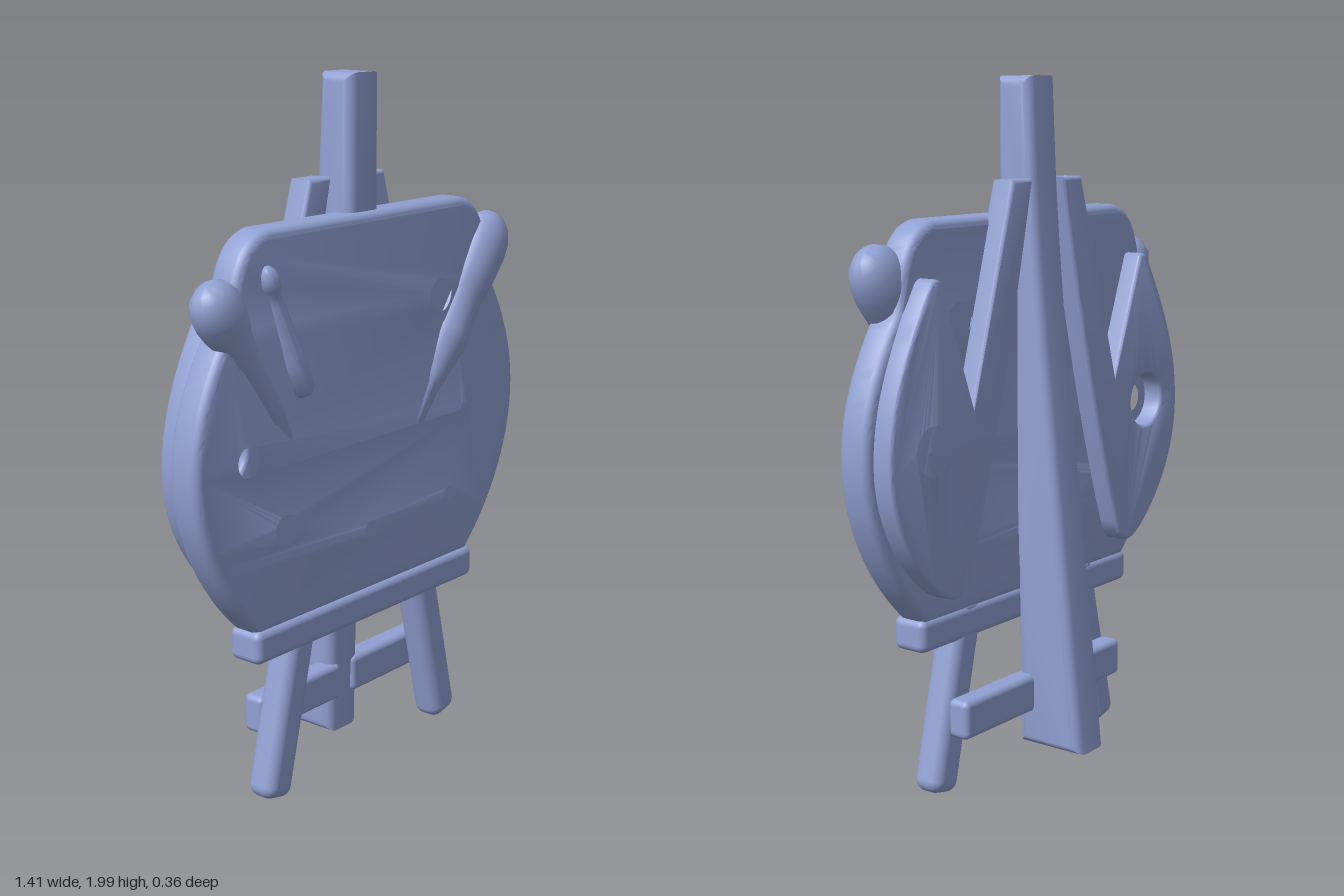
import * as THREE from 'three';
import { toCreasedNormals } from 'three/addons/utils/BufferGeometryUtils.js';
import { RoundedBoxGeometry } from 'three/addons/geometries/RoundedBoxGeometry.js';

export function createModel() {
  const model = new THREE.Group();
  const blue = new THREE.MeshStandardMaterial({ color: 0x91a1d3 });
  blue.name = 'periwinkle';

  const add = (name, geometry, x = 0, y = 0, z = 0) => {
    const mesh = new THREE.Mesh(geometry, blue);
    mesh.name = name;
    mesh.position.set(x, y, z);
    model.add(mesh);
    return mesh;
  };

  // Rounded slab between two depths, whose widest outline is the given shape
  const slab = (shape, z0, z1, bevel) => {
    const g = new THREE.ExtrudeGeometry(shape, {
      depth: z1 - z0 - 2 * bevel, bevelThickness: bevel, bevelSize: bevel,
      bevelOffset: -bevel, bevelSegments: 5, curveSegments: 20,
    });
    g.translate(0, 0, z0 + bevel);
    return toCreasedNormals(g, 0.6);
  };
  const circle = (x, y, r) => new THREE.Path().absarc(x, y, r, 0, Math.PI * 2, true);

  // Palette board with thumb hole and paint wells
  const wells = [[0.32, 1.35, 0.1], [0.445, 0.99, 0.066], [0.375, 0.735, 0.074],
    [0, 0.715, 0.076], [-0.36, 0.8, 0.096]];
  const board = new THREE.Shape();
  board.moveTo(-0.42, 1.625);
  board.lineTo(0.42, 1.625);
  board.quadraticCurveTo(0.52, 1.61, 0.55, 1.48);
  board.lineTo(0.565, 1.39);
  board.bezierCurveTo(0.67, 1.24, 0.705, 1.12, 0.705, 1.01);
  board.bezierCurveTo(0.705, 0.82, 0.6, 0.65, 0.47, 0.53);
  board.lineTo(-0.47, 0.53);
  board.bezierCurveTo(-0.6, 0.65, -0.705, 0.82, -0.705, 1.01);
  board.bezierCurveTo(-0.705, 1.12, -0.67, 1.24, -0.565, 1.39);
  board.lineTo(-0.55, 1.48);
  board.quadraticCurveTo(-0.52, 1.61, -0.42, 1.625);
  board.holes.push(circle(-0.505, 1.025, 0.068));
  for (const [x, y, r] of wells) board.holes.push(circle(x, y, r - 0.025));
  add('paletteBoard', slab(board, 0.035, 0.135, 0.025));
  for (const [x, y, r] of wells) {
    const floor = new THREE.CylinderGeometry(r - 0.008, r - 0.008, 0.08, 40).rotateX(Math.PI / 2);
    add('paintWell', floor, x, y, 0.079);
  }

  // Rear wings: a sloping strip joined to a round lobe with a hole
  for (const s of [1, -1]) {
    const wing = new THREE.Shape();
    wing.moveTo(s * 0.07, 1.72);
    wing.lineTo(s * 0.16, 1.72);
    wing.lineTo(s * 0.335, 1.12);
    wing.lineTo(s * 0.465, 1.47);
    wing.quadraticCurveTo(s * 0.485, 1.485, s * 0.505, 1.465);
    wing.bezierCurveTo(s * 0.62, 1.28, s * 0.675, 1.15, s * 0.675, 1.0);
    wing.bezierCurveTo(s * 0.675, 0.84, s * 0.58, 0.7, s * 0.47, 0.62);
    wing.quadraticCurveTo(s * 0.4, 0.575, s * 0.36, 0.63);
    wing.quadraticCurveTo(s * 0.22, 1.0, s * 0.07, 1.72);
    wing.holes.push(circle(s * 0.505, 1.025, 0.08));
    add(s > 0 ? 'leftRearWing' : 'rightRearWing', slab(wing, -0.025, 0.05, 0.012));

    // Splayed front leg and half of the crossbar
    const leg = add(s > 0 ? 'leftLeg' : 'rightLeg',
      new RoundedBoxGeometry(0.11, 0.56, 0.095, 5, 0.035), s * 0.325, 0.287, 0.085);
    leg.rotation.z = s * 0.235;
    add(s > 0 ? 'leftCrossbar' : 'rightCrossbar',
      new RoundedBoxGeometry(0.35, 0.112, 0.07, 4, 0.018), s * 0.2, 0.235, 0.013);
  }

  // Centre post, tapering towards the top and leaning back at the foot
  const side = new THREE.Shape();
  side.moveTo(0.11, 2);
  side.lineTo(-0.002, 2);
  side.lineTo(-0.015, 1.72);
  side.quadraticCurveTo(-0.035, 1.4, -0.07, 1.1);
  side.lineTo(-0.182, 0.075);
  side.lineTo(0.035, 0.075);
  side.lineTo(0.045, 0.6);
  side.lineTo(0.11, 1.55);
  side.closePath();
  add('centrePost', slab(side, -0.067, 0.067, 0.03).rotateY(-Math.PI / 2));

  // Tray under the board
  add('tray', new RoundedBoxGeometry(0.98, 0.095, 0.11, 4, 0.022), 0, 0.495, 0.09);

  // Brushes: turned profiles [radius, distance from the lower end], slightly flattened
  const brush = (name, from, to, profile, z, flat) => {
    const points = profile.map(([r, d]) => new THREE.Vector2(r, d));
    const g = toCreasedNormals(new THREE.LatheGeometry(points, 28), 0.7);
    const mesh = add(name, g, from[0], from[1], z);
    mesh.rotation.z = -Math.atan2(to[0] - from[0], to[1] - from[1]);
    mesh.scale.z = flat;
  };
  brush('wideBrush', [0.22, 0.98], [0.61, 1.55], [
    [0, 0], [0.026, 0], [0.033, 0.012], [0.041, 0.13], [0.05, 0.15], [0.054, 0.18],
    [0.074, 0.27], [0.076, 0.3], [0.073, 0.31], [0.07, 0.42], [0.074, 0.43], [0.084, 0.5],
    [0.089, 0.57], [0.085, 0.62], [0.068, 0.66], [0.04, 0.685], [0, 0.695]], 0.112, 0.78);
  brush('roundBrush', [-0.325, 1.035], [-0.62, 1.48], [
    [0, 0], [0.022, 0], [0.03, 0.015], [0.036, 0.09], [0.04, 0.1], [0.047, 0.3],
    [0.052, 0.32], [0.056, 0.37], [0.07, 0.42], [0.077, 0.46], [0.075, 0.5],
    [0.06, 0.535], [0.035, 0.555], [0, 0.562]], 0.11, 0.82);
  brush('thinBrush', [-0.285, 1.17], [-0.425, 1.5], [
    [0, 0], [0.024, 0], [0.034, 0.015], [0.036, 0.1], [0.032, 0.14], [0.03, 0.16],
    [0.022, 0.28], [0.021, 0.305], [0.029, 0.33], [0.031, 0.35], [0.025, 0.375],
    [0.012, 0.39], [0, 0.394]], 0.135, 0.9);

  return model;
}
